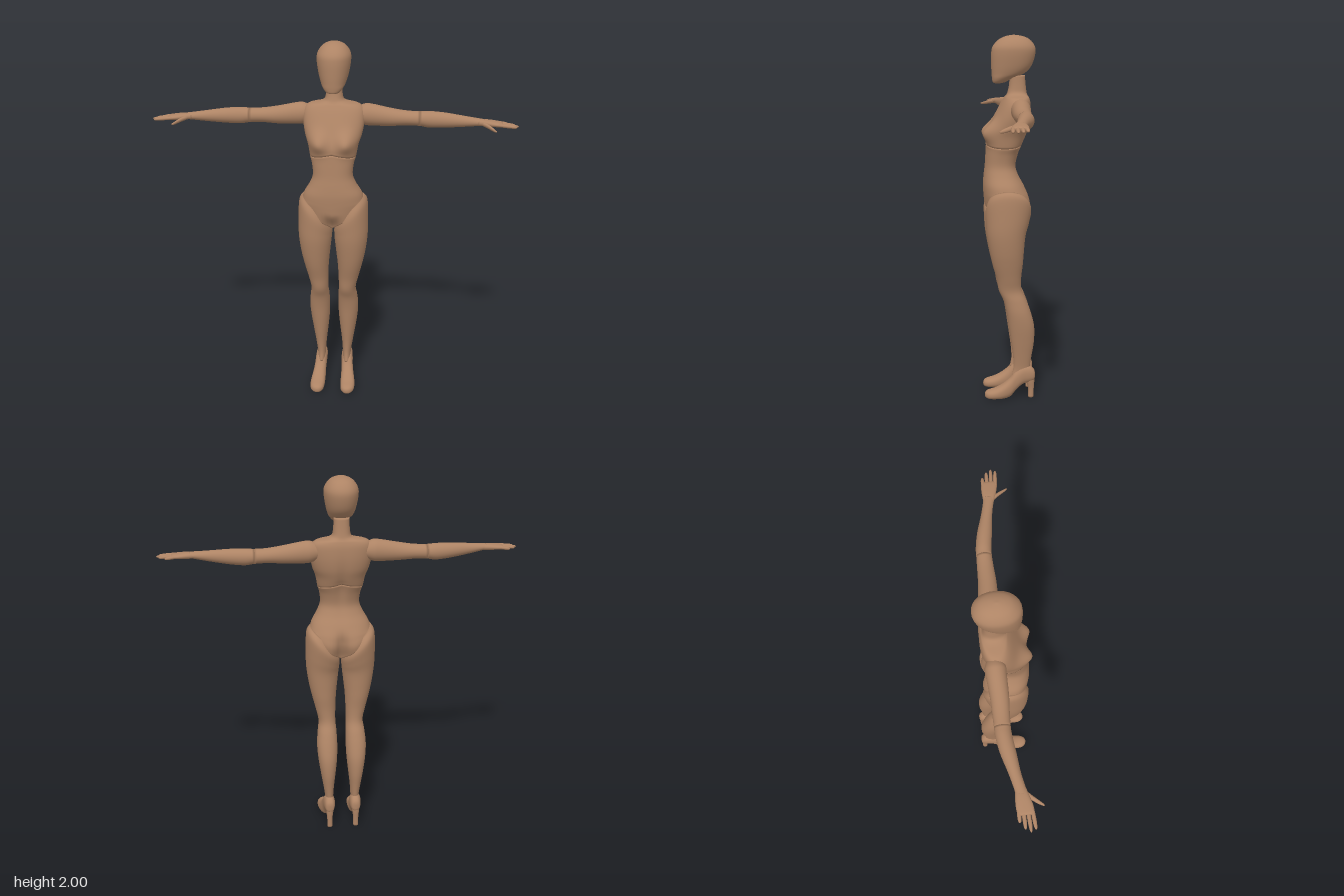
import * as THREE from 'three';

const skin = new THREE.MeshStandardMaterial({ color: 0xae8465 });
skin.name = 'tan plastic';

// Smooth rows of numbers with a Catmull-Rom curve
function refine(rows, steps = 5) {
  const out = [];
  const at = i => rows[Math.max(0, Math.min(rows.length - 1, i))];
  for (let i = 0; i < rows.length - 1; i++) {
    const [p, q, r, s] = [at(i - 1), at(i), at(i + 1), at(i + 2)];
    for (let j = 0; j < steps; j++) {
      const t = j / steps;
      out.push(q.map((_, c) => 0.5 * (2 * q[c] + (r[c] - p[c]) * t
        + (2 * p[c] - 5 * q[c] + 4 * r[c] - s[c]) * t * t
        + (3 * q[c] - p[c] - 3 * r[c] + s[c]) * t * t * t)));
    }
  }
  out.push(at(rows.length - 1));
  return out;
}

// Skin superellipse sections; row = [t, aLow, aHigh, bLow, bHigh, tilt]
function loft(name, rows, map, { sides = 32, power = 2.3, mirror = 1 } = {}) {
  const pos = [], idx = [], n = rows.length;
  const put = (t, a, b, k) => {
    const p = map(t, a, b, k);
    pos.push(p[0] * mirror, p[1], p[2]);
  };
  const bend = v => Math.sign(v) * Math.pow(Math.abs(v), 2 / power);
  for (const [t, a0, a1, b0, b1, k] of rows) {
    for (let s = 0; s < sides; s++) {
      const w = s / sides * Math.PI * 2;
      put(t, (a0 + a1) / 2 + (a1 - a0) / 2 * bend(Math.cos(w)),
        (b0 + b1) / 2 + (b1 - b0) / 2 * bend(Math.sin(w)), k);
    }
  }
  for (const r of [rows[0], rows[n - 1]]) put(r[0], (r[1] + r[2]) / 2, (r[3] + r[4]) / 2, r[5]);
  for (let s = 0; s < sides; s++) {
    const s2 = (s + 1) % sides, end = (n - 1) * sides;
    for (let i = 0; i < n - 1; i++) {
      const a = i * sides + s, b = i * sides + s2;
      idx.push(a, b, a + sides, b, b + sides, a + sides);
    }
    idx.push(n * sides, s2, s, n * sides + 1, end + s, end + s2);
  }
  // Turn the faces outward by checking the enclosed volume
  let volume = 0;
  const v = i => new THREE.Vector3().fromArray(pos, i * 3);
  for (let i = 0; i < idx.length; i += 3) volume += v(idx[i]).dot(v(idx[i + 1]).cross(v(idx[i + 2])));
  if (volume < 0) idx.reverse();
  const geo = new THREE.BufferGeometry();
  geo.setAttribute('position', new THREE.Float32BufferAttribute(pos, 3));
  geo.setIndex(idx);
  geo.computeVertexNormals();
  const mesh = new THREE.Mesh(geo, skin);
  mesh.name = name;
  return mesh;
}

const upright = (t, a, b, k = 0) => [a, t + k * Math.abs(a), b];
const sideways = (t, a, b) => [t, a, b];
const forward = (t, a, b) => [a, b, t];
const bell = (v, c, w) => Math.exp(-(((v - c) / w) ** 2));

// Torso surface with bust, buttocks, spine groove and crotch
function torsoShape(t, x, z, k) {
  const y = t + k * Math.abs(x), ax = Math.abs(x);
  let d = z;
  const front = THREE.MathUtils.smoothstep(z, 0, 0.08);
  const back = THREE.MathUtils.smoothstep(-z, 0, 0.06);
  d += front * 0.042 * bell(ax, 0.075, 0.048) * bell(y, 1.495, 0.05);
  d -= back * 0.014 * bell(ax, 0.075, 0.05) * bell(y, 1.1, 0.06);
  d += back * 0.012 * bell(x, 0, 0.025) * bell(y, 1.42, 0.14);
  d += back * 0.03 * bell(x, 0, 0.022) * THREE.MathUtils.smoothstep(1.2 - y, 0, 0.12);
  d *= 1 - 0.4 * bell(x, 0, 0.04) * THREE.MathUtils.smoothstep(1.11 - y, 0, 0.1);
  return [x, y, d];
}

export function createModel() {
  const model = new THREE.Group();
  model.name = 'mannequin';

  // Head: egg-shaped with a flat featureless face
  model.add(loft('head', refine([
    [1.748, .012, .075, .045], [1.754, .034, .086, .02], [1.775, .053, .09, -.02],
    [1.80, .066, .092, -.082], [1.84, .078, .094, -.12], [1.90, .088, .094, -.14],
    [1.94, .086, .086, -.138], [1.975, .064, .055, -.112], [1.993, .034, .018, -.075],
    [2.0, .003, -.02, -.03],
  ].map(([y, w, f, b]) => [y, -w, w, b, f, 0])), upright, { power: 2.15 }));

  // Torso: [height, half width, back, front, tilt], split below the bust
  const torso = refine([
    [1.79, .04, -.085, -.005, 0], [1.735, .043, -.09, 0, 0], [1.70, .05, -.095, .008, 0],
    [1.685, .075, -.10, .015, 0], [1.672, .135, -.107, .025, 0], [1.64, .16, -.114, .045, 0],
    [1.58, .161, -.114, .075, 0], [1.52, .15, -.105, .1, 0], [1.47, .133, -.088, .118, 0],
    [1.435, .122, -.07, .122, -.2], [1.37, .111, -.048, .127, 0], [1.31, .106, -.036, .131, 0],
    [1.26, .124, -.05, .137, 0], [1.21, .153, -.076, .141, 0], [1.16, .166, -.095, .139, .08],
    [1.11, .173, -.1, .135, .33], [1.06, .177, -.102, .13, .58], [1.01, .179, -.1, .125, .83],
  ].map(([y, w, b, f, k]) => [y, -w, w, b, f, k]));
  const seam = 9 * 5;
  model.add(loft('chestAndNeck', torso.slice(0, seam + 1), torsoShape, { sides: 64 }));
  model.add(loft('waistAndHips', torso.slice(seam), torsoShape, { sides: 64 }));

  for (const mirror of [1, -1]) {
    const side = mirror > 0 ? 'left' : 'right';

    // Arm, split at the elbow
    const arm = refine([
      [.115, 1.58, 1.65, -.085, -.015], [.16, 1.56, 1.672, -.1, .002], [.2, 1.556, 1.671, -.099, .002],
      [.3, 1.557, 1.652, -.09, .002], [.38, 1.562, 1.64, -.087, -.003], [.45, 1.56, 1.637, -.085, -.006],
      [.5, 1.553, 1.64, -.083, -.003], [.58, 1.558, 1.637, -.069, .007], [.68, 1.57, 1.627, -.04, .018],
      [.76, 1.582, 1.619, -.021, .034], [.78, 1.584, 1.617, -.02, .038],
    ]);
    model.add(loft(side + 'UpperArm', arm.slice(0, 26), sideways, { mirror, power: 2 }));
    model.add(loft(side + 'Forearm', arm.slice(25), sideways, { mirror, power: 2 }));

    // Hand: palm, four fingers and a thumb
    const hand = new THREE.Group();
    hand.name = side + 'Hand';
    hand.add(loft('palm', refine([
      [.75, 1.584, 1.616, -.018, .032], [.79, 1.583, 1.616, -.022, .045], [.83, 1.583, 1.612, -.024, .056],
      [.865, 1.584, 1.607, -.02, .06], [.876, 1.59, 1.601, -.012, .052],
    ]), sideways, { mirror, sides: 20 }));
    [[-.012, -.012, .908], [.009, .011, .94], [.03, .035, .955], [.05, .058, .945]].forEach(([z0, z1, tip], i) => {
      const rows = [[0, .008], [.5, .0088], [.88, .0065], [1, .001]].map(([f, r]) => {
        const z = z0 + (z1 - z0) * f, y = 1.597 - .008 * f;
        return [.85 + (tip - .85) * f, y - r, y + r, z - r * 1.1, z + r * 1.1];
      });
      hand.add(loft('finger' + (i + 1), refine(rows, 4), sideways, { mirror, sides: 12, power: 2 }));
    });
    hand.add(loft('thumb', refine([
      [.765, 1.588, 1.608, .01, .034], [.79, 1.582, 1.604, .03, .06], [.81, 1.577, 1.597, .054, .084],
      [.828, 1.573, 1.588, .082, .105], [.838, 1.575, 1.582, .102, .111],
    ], 4), sideways, { mirror, sides: 12, power: 2 }));
    model.add(hand);

    // Leg: the top is cut along the sloping hip seam
    model.add(loft(side + 'Leg', refine([
      [1.05, .03, .165, -.085, .115, .84], [1.0, .007, .185, -.113, .132, .83],
      [.96, .006, .19, -.1, .131, .45], [.92, .01, .188, -.082, .126, .15], [.85, .018, .175, -.074, .112, 0],
      [.78, .025, .16, -.069, .097, 0], [.7, .029, .14, -.061, .075, 0], [.63, .03, .125, -.064, .062, 0],
      [.57, .026, .132, -.09, .036, 0], [.5, .024, .138, -.115, .019, 0], [.42, .027, .133, -.134, .007, 0],
      [.33, .036, .12, -.134, -.006, 0], [.25, .045, .107, -.122, -.017, 0], [.18, .05, .097, -.112, -.02, 0],
      [.13, .052, .095, -.112, -.01, 0],
    ]), upright, { mirror, power: 2.1 }));

    // High-heeled shoe: [z, centre x, half width, bottom, top]
    const shoe = new THREE.Group();
    shoe.name = side + 'Shoe';
    shoe.add(loft('foot', refine([
      [-.141, .074, .006, .115, .145], [-.134, .074, .022, .1, .165], [-.11, .074, .03, .09, .185],
      [-.07, .075, .033, .078, .185], [-.03, .078, .033, .042, .155], [0, .081, .036, .01, .117],
      [.04, .085, .04, .0, .084], [.08, .087, .041, .0, .063], [.115, .087, .036, .002, .053],
      [.135, .086, .022, .008, .044], [.142, .085, .006, .018, .032],
    ].map(([z, c, w, lo, hi]) => [z, c - w, c + w, lo, hi])), forward, { mirror }));
    shoe.add(loft('heel', refine([
      [0, .06, .09, -.133, -.103], [.05, .06, .09, -.135, -.103],
      [.09, .055, .094, -.138, -.092], [.12, .052, .096, -.138, -.08],
    ]), upright, { mirror, sides: 20 }));
    model.add(shoe);
  }
  return model;
}
